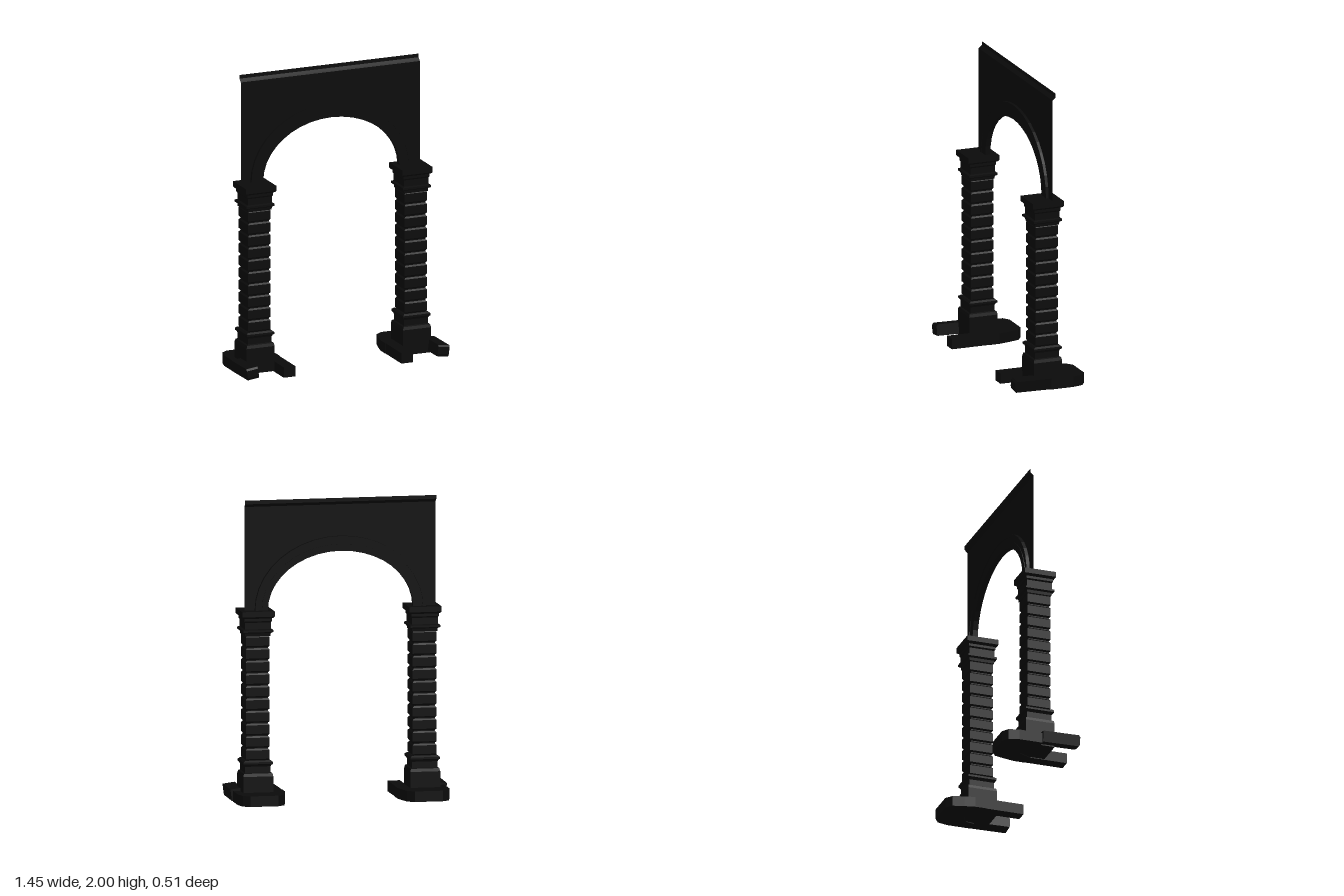
import * as THREE from 'three';

const mat = new THREE.MeshStandardMaterial({ color: 0x0a0a0a, flatShading: true, side: THREE.DoubleSide });
const SPRING = 1.27; // height where the arch starts
const COLUMN_X = 0.557;

function add(parent, name, geometry, x = 0, y = 0, z = 0) {
  const mesh = new THREE.Mesh(geometry, mat);
  mesh.name = name;
  mesh.position.set(x, y, z);
  parent.add(mesh);
  return mesh;
}

// Square turned solid from [half width, height] pairs
function squareLathe(profile) {
  const pts = profile.map(([h, y]) => new THREE.Vector2(h * Math.SQRT2, y));
  return new THREE.LatheGeometry(pts, 4, Math.PI / 4);
}

// Points on the half ellipse of the arch, from +x to -x
function archPoints(a, b, n = 20) {
  return Array.from({ length: n + 1 }, (_, i) => {
    const t = (i / n) * Math.PI;
    return new THREE.Vector2(a * Math.cos(t), SPRING + b * Math.sin(t));
  });
}

function archBand(a0, b0, a1, b1, depth) {
  const shape = new THREE.Shape([...archPoints(a1, b1), ...archPoints(a0, b0).reverse()]);
  return new THREE.ExtrudeGeometry(shape, { depth, bevelEnabled: false });
}

function makeColumn() {
  const column = new THREE.Group();
  column.name = 'column';

  // Plinth and base moulding
  add(column, 'plinth', squareLathe([
    [0, 0.01], [0.1, 0.01], [0.1, 0.18], [0.095, 0.2], [0.085, 0.205], [0.085, 0.245],
    [0.09, 0.255], [0.098, 0.262], [0.098, 0.275], [0.085, 0.285], [0.07, 0.285],
  ]));

  // Shaft of stacked blocks with bevelled joints
  const shaft = [];
  const count = 10, bottom = 0.28, pitch = 0.083;
  for (let i = 0; i < count; i++) {
    const y = bottom + i * pitch;
    shaft.push([0.071, y], [0.071, y + 0.004], [0.08, y + 0.014], [0.08, y + pitch - 0.012], [0.071, y + pitch - 0.002]);
  }
  add(column, 'shaft', squareLathe(shaft));

  // Capital
  add(column, 'capital', squareLathe([
    [0.07, 1.105], [0.084, 1.105], [0.086, 1.125], [0.1, 1.133], [0.1, 1.146], [0.086, 1.152],
    [0.086, 1.195], [0.092, 1.205], [0.092, 1.222], [0.102, 1.228], [0.108, 1.235],
    [0.108, 1.27], [0, 1.27],
  ]));

  // Rounded kerb behind the column, notched at the plinth
  const outline = [
    [-0.182, 0], [-0.182, 0.08], [-0.167, 0.15], [-0.147, 0.225], [-0.102, 0.26], [0.085, 0.26],
    [0.13, 0.23], [0.148, 0.16], [0.148, 0], [0.07, 0], [0.06, 0.06], [0, 0.095], [-0.06, 0.08], [-0.1, 0],
  ].map(([x, y]) => new THREE.Vector2(x, y));
  const kerb = new THREE.ExtrudeGeometry(new THREE.Shape(outline), { depth: 0.07, bevelEnabled: false });
  kerb.rotateX(-Math.PI / 2);
  add(column, 'kerb', kerb, 0, 0.005, 0);

  // Two forward arms, the outer one slightly tilted
  add(column, 'innerArm', new THREE.BoxGeometry(0.082, 0.07, 0.255), -0.138, 0.04, 0.1275);
  const arm = new THREE.Shape([[0, 0], [0.25, 0.004], [0.255, 0.02], [0.255, 0.068], [0.245, 0.08], [0, 0.076]]
    .map(([x, y]) => new THREE.Vector2(x, y)));
  const armGeo = new THREE.ExtrudeGeometry(arm, { depth: 0.08, bevelEnabled: false });
  armGeo.rotateY(-Math.PI / 2);
  const outer = add(column, 'outerArm', armGeo, 0.156, 0, 0);
  outer.rotation.z = -0.13;
  outer.position.y = 0.01;
  return column;
}

export function createModel() {
  const model = new THREE.Group();
  model.name = 'archway';

  // Columns, mirrored about the centre
  for (const side of [1, -1]) {
    const column = makeColumn();
    column.name = side > 0 ? 'leftColumn' : 'rightColumn';
    column.position.x = side * COLUMN_X;
    column.scale.x = side;
    model.add(column);
  }

  // Thin wall sheet with the arch opening
  const wall = new THREE.Shape([
    new THREE.Vector2(0.638, SPRING), new THREE.Vector2(0.638, 1.955),
    new THREE.Vector2(-0.638, 1.955), new THREE.Vector2(-0.638, SPRING),
    ...archPoints(0.52, 0.42).reverse(),
  ]);
  add(model, 'wall', new THREE.ShapeGeometry(wall), 0, 0, -0.04);

  // Cornice sheet, stepping back along the top edge
  const cornice = new THREE.PlaneGeometry(1.276, 0.045, 1, 3);
  const steps = [[2, -0.062], [1.975, -0.062], [1.962, -0.048], [1.955, -0.04]];
  const pos = cornice.attributes.position;
  for (let i = 0; i < pos.count; i++) {
    const [y, z] = steps[Math.floor(i / 2)];
    pos.setY(i, y);
    pos.setZ(i, z);
  }
  cornice.computeVertexNormals();
  add(model, 'cornice', cornice);

  // Stepped arch mouldings
  add(model, 'archRing', archBand(0.485, 0.38, 0.525, 0.425, 0.036), 0, 0, -0.06);
  add(model, 'archMoulding', archBand(0.525, 0.425, 0.55, 0.455, 0.032), 0, 0, -0.056);
  add(model, 'archOuterMoulding', archBand(0.55, 0.455, 0.57, 0.478, 0.042), 0, 0, -0.063);

  return model;
}
